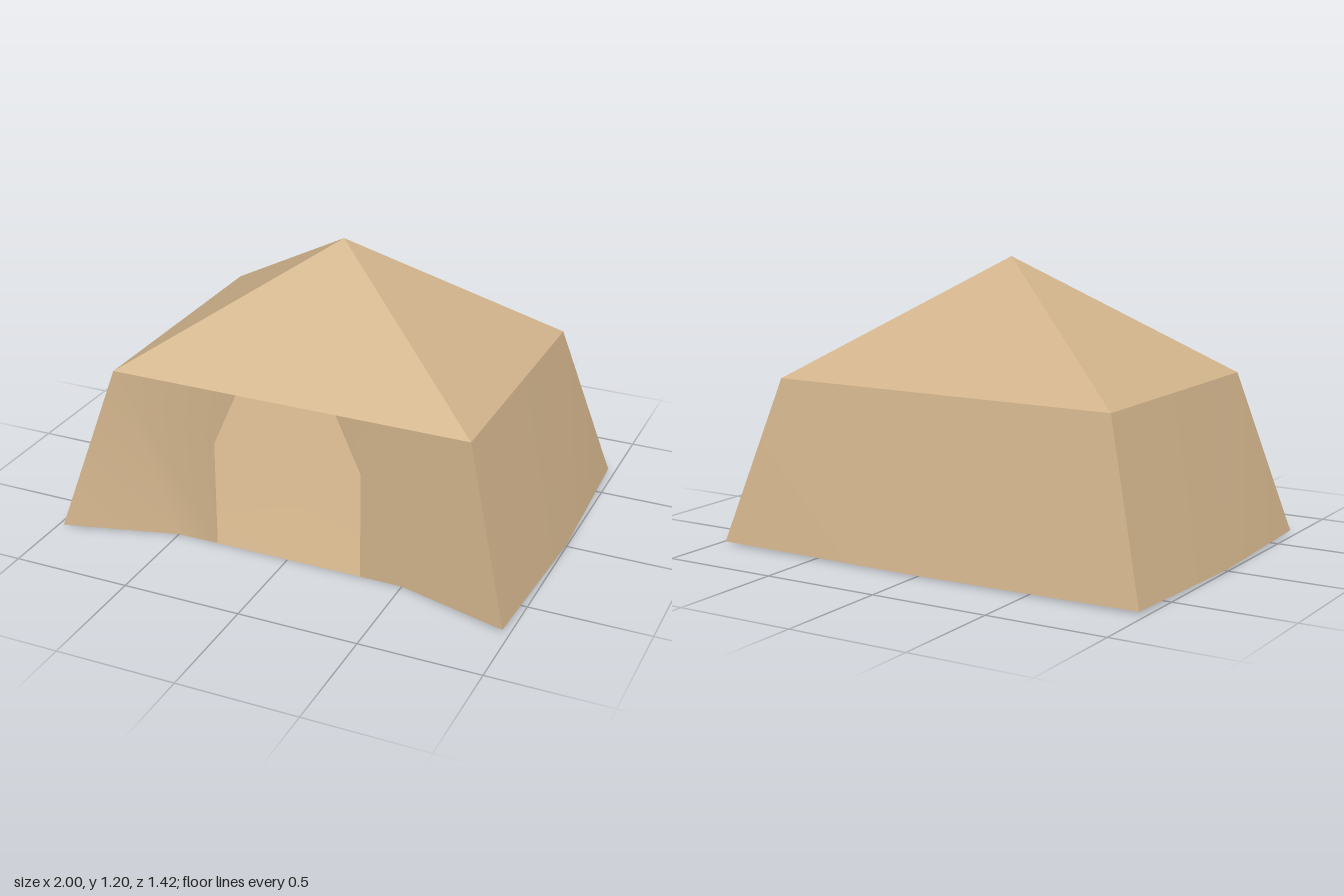
import * as THREE from 'three';

export function createModel() {
  const tent = new THREE.Group();
  tent.name = 'tent';
  const canvas = new THREE.MeshStandardMaterial({ color: 0xd2b48c, side: THREE.DoubleSide });
  canvas.name = 'tan canvas';

  // One cloth panel: corner points plus triangles, smooth within the panel
  function panel(name, points, triangles) {
    const geometry = new THREE.BufferGeometry();
    geometry.setAttribute('position', new THREE.Float32BufferAttribute(points.flat(), 3));
    geometry.setIndex(triangles.flat());
    geometry.computeVertexNormals();
    const mesh = new THREE.Mesh(geometry, canvas);
    mesh.name = name;
    tent.add(mesh);
  }
  const flip = ([x, y, z]) => [-x, y, z];

  // Key points on the +x side
  const apex = [0, 1.195, 0];
  const eaveFront = [0.77, 0.698, 0.565], eaveBack = [0.77, 0.698, -0.56];
  const footFront = [0.97, 0.01, 0.705], footBack = [0.97, 0.01, -0.703];
  const footSide = [1, 0.008, 0], footRear = [0, 0.005, -0.712];
  const footInner = [0.5, 0, 0.562];
  const doorFoot = [0.32, 0, 0.56], doorShoulder = [0.32, 0.46, 0.56], doorTop = [0.215, 0.698, 0.563];

  // Pyramid roof
  const eaves = [eaveFront, eaveBack, flip(eaveBack), flip(eaveFront)];
  ['roofLeft', 'roofBack', 'roofRight', 'roofFront'].forEach((name, i) =>
    panel(name, [apex, eaves[i], eaves[(i + 1) % 4]], [[0, 1, 2]]));

  // Plain walls, with the foot bowed slightly outward at its middle
  const wallFaces = [[0, 2, 3], [0, 3, 1], [1, 3, 4]];
  panel('wallLeft', [eaveFront, eaveBack, footFront, footSide, footBack], wallFaces);
  panel('wallRight', [eaveBack, eaveFront, footBack, footSide, footFront].map(flip), wallFaces);
  panel('wallBack', [eaveBack, flip(eaveBack), footBack, footRear, flip(footBack)], wallFaces);

  // Front wall halves either side of the open doorway
  const half = [eaveFront, doorTop, doorShoulder, doorFoot, footInner, footFront];
  const fan = [[0, 1, 2], [0, 2, 3], [0, 3, 4], [0, 4, 5]];
  panel('frontWallLeft', half, fan);
  panel('frontWallRight', half.map(flip), fan.map(([a, b, c]) => [a, c, b]));

  // Ground sheet
  const rim = [footInner, footFront, footSide, footBack, footRear,
    flip(footBack), flip(footSide), flip(footFront), flip(footInner)];
  panel('groundSheet', [[0, 0.004, 0], ...rim],
    rim.map((_, i) => [0, i + 1, ((i + 1) % rim.length) + 1]));

  return tent;
}
